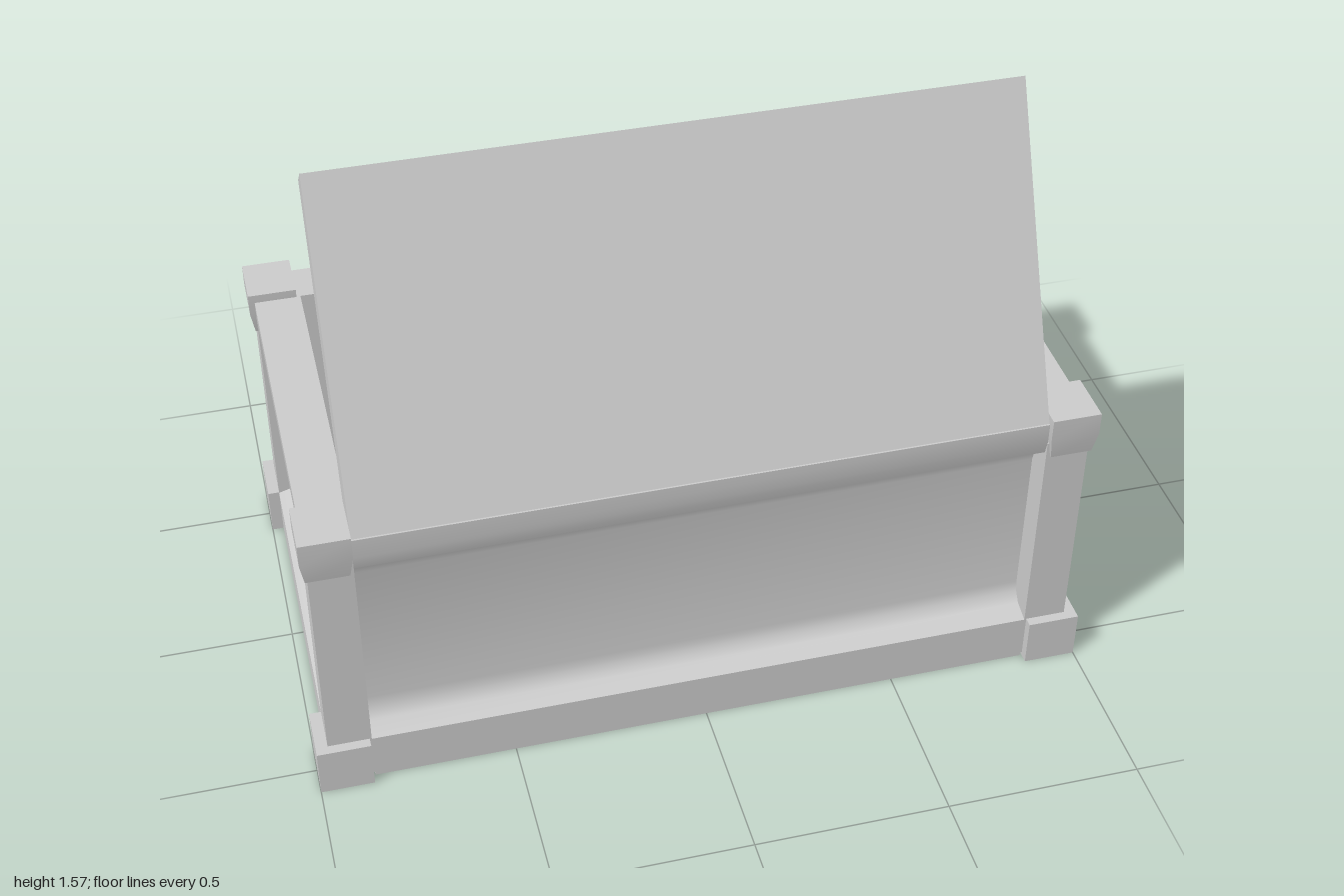
import * as THREE from 'three';
import { toCreasedNormals } from 'three/addons/utils/BufferGeometryUtils.js';
import { ConvexGeometry } from 'three/addons/geometries/ConvexGeometry.js';

const material = new THREE.MeshStandardMaterial({ color: 0xcccccc });
const rockMaterial = new THREE.MeshStandardMaterial({ color: 0xcccccc, flatShading: true });

export function createModel() {
  const model = new THREE.Group();
  model.name = 'openCrate';

  const add = (name, geometry, x = 0, y = 0, z = 0, mat = material) => {
    const mesh = new THREE.Mesh(geometry, mat);
    mesh.name = name;
    mesh.position.set(x, y, z);
    model.add(mesh);
    return mesh;
  };

  // Extrudes a (z, y) profile along x, centred on x = 0
  const extrudeAlongX = (points, length) => {
    const shape = new THREE.Shape(points.map(([z, y]) => new THREE.Vector2(z, y)));
    const geometry = new THREE.ExtrudeGeometry(shape, { depth: length, bevelEnabled: false });
    geometry.translate(0, 0, -length / 2).rotateY(-Math.PI / 2);
    return toCreasedNormals(geometry, 0.85);
  };

  // Wall section: base board, recessed panel with soft slopes, bevelled top rail
  const wallProfile = [
    [0, 0], [0, 0.13], [-0.05, 0.145], [-0.07, 0.17], [-0.075, 0.2], [-0.075, 0.62],
    [-0.065, 0.66], [-0.035, 0.69], [-0.01, 0.695], [0, 0.735], [0, 0.79], [-0.12, 0.79], [-0.12, 0],
  ];
  const wall = (distance, length) =>
    extrudeAlongX(wallProfile.map(([d, y]) => [distance + d, y]), length);
  const longWall = wall(0.55, 1.72);
  const shortWall = wall(0.97, 0.87);
  ['frontWall', 'leftWall', 'backWall', 'rightWall'].forEach((name, i) => {
    add(name, i % 2 ? shortWall : longWall).rotation.y = i * Math.PI / 2;
  });
  add('floor', new THREE.BoxGeometry(1.72, 0.1, 0.87), 0, 0.05, 0);

  // Corner cap: a block whose lower half narrows to the post
  const capBlock = new THREE.BoxGeometry(0.125, 0.122, 0.14, 1, 2, 1);
  const corners = capBlock.attributes.position;
  for (let i = 0; i < corners.count; i++) {
    if (corners.getY(i) < -0.01) {
      corners.setX(i, corners.getX(i) * 0.85);
      corners.setZ(i, corners.getZ(i) * 0.85);
    }
  }
  const cap = toCreasedNormals(capBlock, 0.5);

  // Corner posts with feet and caps
  const post = new THREE.BoxGeometry(0.11, 0.72, 0.12);
  const foot = new THREE.BoxGeometry(0.135, 0.132, 0.145);
  for (const sx of [-1, 1]) {
    for (const sz of [-1, 1]) {
      add('cornerPost', post, sx * 0.915, 0.37, sz * 0.49);
      add('cornerFoot', foot, sx * 0.9325, 0.066, sz * 0.5025);
      add('cornerCap', cap, sx * 0.923, 0.752, sz * 0.498);
    }
  }

  // Lid leaning inward from the front rail
  add('lid', extrudeAlongX([[0.55, 0.78], [0.18, 1.565], [0.12, 1.51], [0.435, 0.78]], 1.72));

  // Thick roll with a hole through its middle
  const ring = new THREE.Shape().absarc(0, 0, 0.395, 0, Math.PI * 2);
  ring.holes.push(new THREE.Path().absarc(0, 0, 0.145, 0, Math.PI * 2, true));
  const roll = new THREE.ExtrudeGeometry(ring, { depth: 0.765, bevelEnabled: false, curveSegments: 32 });
  roll.rotateX(-Math.PI / 2);
  add('roll', toCreasedNormals(roll, 0.6), 0.455, 0.1, 0.035);

  // Two cans of different height
  const can = (name, x, z, top) =>
    add(name, new THREE.CylinderGeometry(0.16, 0.16, top - 0.1, 40), x, (top + 0.1) / 2, z);
  can('tallCan', -0.42, 0.22, 0.855);
  can('shortCan', -0.22, 0.24, 0.52);

  // Faceted stones
  let seed = 7;
  const random = () => (seed = (seed * 16807) % 2147483647) / 2147483647;
  const stone = (rx, ry, rz, taper) => {
    const points = [];
    for (let i = 0; i < 80; i++) {
      const h = 1 - 2 * (i + 0.5) / 80;
      const angle = i * 2.39996;
      const r = Math.sqrt(1 - h * h);
      const k = 0.97 + 0.04 * random();
      const px = r * Math.cos(angle);
      const pz = r * Math.sin(angle);
      // Narrower toward the back, with a sloping shoulder on one side
      points.push(new THREE.Vector3(
        rx * k * px * (1 + taper * pz), ry * k * Math.min(h, 0.9 - 0.5 * px), rz * k * pz));
    }
    return new ConvexGeometry(points);
  };
  // x, y, z, half width, half depth, taper, turn
  const stones = [
    [-0.64, 0.42, -0.29, 0.14, 0.135, 0.4, -0.1],
    [-0.36, 0.45, -0.29, 0.145, 0.13, 0.1, 0.5],
    [-0.17, 0.37, -0.33, 0.12, 0.11, 0.3, 0.2],
    [-0.09, 0.43, -0.19, 0.125, 0.135, 0.3, 1.4],
    [-0.26, 0.39, -0.08, 0.12, 0.11, 0.2, 0.5],
    [-0.49, 0.46, -0.06, 0.14, 0.125, 0.1, 0.4],
    [-0.69, 0.42, -0.03, 0.13, 0.145, 0.4, -0.4],
  ];
  for (const [x, y, z, rx, rz, taper, turn] of stones) {
    add('stone', stone(rx, 0.24, rz, taper), x, y, z, rockMaterial).rotation.y = turn;
  }

  return model;
}
